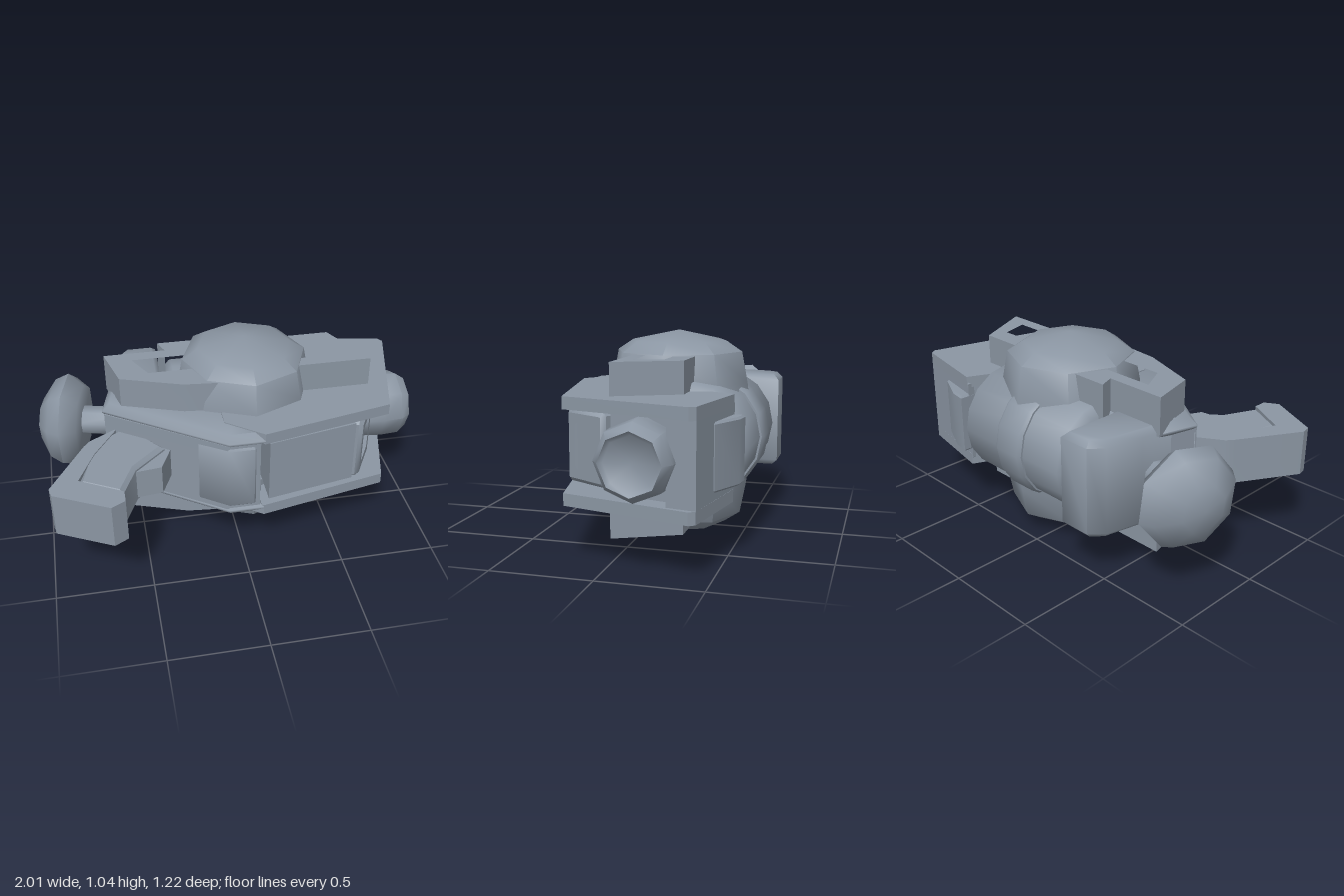
import * as THREE from 'three';
import { toCreasedNormals } from 'three/addons/utils/BufferGeometryUtils.js';

const MID = 0.52; // height of the horizontal mirror plane

export function createModel() {
  const group = new THREE.Group();
  const grey = new THREE.MeshStandardMaterial({ color: 0x8b96a3 });
  grey.name = 'blue grey';

  const add = (name, geo, crease = 0.7) => {
    const mesh = new THREE.Mesh(toCreasedNormals(geo, crease), grey);
    mesh.name = name;
    group.add(mesh);
    return mesh;
  };
  const toShape = (pts) => new THREE.Shape(pts.map(([x, z]) => new THREE.Vector2(x, -z)));

  // Vertical prism from a plan outline of [x, z] points
  const prism = (name, pts, y0, y1, { bevel = 0, hole = null, crease = 0.7 } = {}) => {
    const shape = toShape(pts);
    if (hole) shape.holes.push(toShape(hole));
    const geo = new THREE.ExtrudeGeometry(shape, {
      depth: y1 - y0 - 2 * bevel, bevelEnabled: bevel > 0,
      bevelThickness: bevel, bevelSize: bevel, bevelOffset: -bevel, bevelSegments: 1,
    });
    geo.rotateX(-Math.PI / 2).translate(0, y0 + bevel, 0);
    return add(name, geo, crease);
  };
  // The same prism above and below the mirror plane
  const pair = (name, pts, y0, y1, opts) => {
    prism('upper' + name, pts, y0, y1, opts);
    prism('lower' + name, pts, 2 * MID - y1, 2 * MID - y0, opts);
  };
  // Turned part: profile of [radius, distance] along a direction
  const turned = (name, profile, sides, pos, dir, crease = 0.9) => {
    const geo = new THREE.LatheGeometry(profile.map(([r, d]) => new THREE.Vector2(r, d)), sides);
    const mesh = add(name, geo, crease);
    mesh.position.set(...pos);
    mesh.quaternion.setFromUnitVectors(new THREE.Vector3(0, 1, 0), new THREE.Vector3(...dir).normalize());
    return mesh;
  };

  // Domes
  const dome = [[0.37, 0.15], [0.355, 0.26], [0.325, 0.415], [0.245, 0.468], [0, 0.52]];
  for (const s of [1, -1]) {
    turned(s > 0 ? 'upperDome' : 'lowerDome', dome, 8, [0.09, MID, -0.155], [0, s, 0]);
  }

  // Hull core, with the rounded cheek at the front
  prism('hullCore', [[-0.6, -0.25], [-0.66, -0.04], [-0.09, 0.35], [0.08, 0.35], [0.1, 0.1],
    [0.74, 0.0], [0.84, -0.4], [0.5, -0.5], [0.4, -0.3], [-0.3, -0.3]], 0.32, 0.72);
  prism('cheek', [[-0.66, -0.05], [-0.08, 0.36], [0.05, 0.36], [0.09, 0.31], [0.09, 0.1], [-0.5, -0.1]],
    0.32, 0.72, { bevel: 0.03, crease: 1 });

  // Deck plates
  pair('RightDeck', [[-0.08, 0.1], [-0.08, 0.22], [0.1, 0.36], [0.78, 0.22], [0.95, -0.41], [0.93, -0.44],
    [0.5, -0.52], [0.4, -0.3], [-0.08, -0.3]], 0.715, 0.775);
  pair('LeftDeck', [[-0.62, -0.25], [-0.67, -0.05], [-0.08, 0.36], [0.1, 0.36], [0.1, -0.2], [-0.3, -0.3]],
    0.69, 0.77, { bevel: 0.035, crease: 1 });

  // Raised wings beside the domes, with an open channel in each
  const wings = [
    ['RightWing', [[-0.63, -0.27], [-0.31, -0.27], [-0.34, -0.35], [-0.06, -0.35], [-0.06, 0.1], [-0.26, 0.08], [-0.57, -0.03]],
      [[-0.49, -0.2], [-0.12, -0.2], [-0.12, -0.06], [-0.42, -0.06]]],
    ['LeftWing', [[0.3, -0.3], [0.58, -0.3], [0.73, 0.01], [0.25, 0.01]],
      [[0.33, -0.2], [0.55, -0.2], [0.59, -0.06], [0.33, -0.06]]],
  ];
  for (const [name, outline, hole] of wings) {
    pair(name, outline, 0.73, 0.93, { hole });
    pair(name + 'Floor', hole, 0.74, 0.84);
  }

  // Side block with a framed opening on its slanted end
  prism('sideBlock', [[0.13, 0.34], [0.6, 0.25], [0.58, 0.22], [0.7, 0.0], [0.13, 0.03]], 0.35, 0.7);
  const rect = (w, h, c) => [[-w + c, -h], [w - c, -h], [w, -h + c], [w, h - c], [w - c, h], [-w + c, h], [-w, h - c], [-w, -h + c]];
  const frameShape = toShape(rect(0.13, 0.175, 0.015));
  frameShape.holes.push(toShape(rect(0.09, 0.13, 0.025)));
  const frame = add('blockFrame', new THREE.ExtrudeGeometry(frameShape, {
    depth: 0.05, bevelEnabled: true, bevelThickness: 0.02, bevelSize: 0.02, bevelOffset: -0.02, bevelSegments: 1,
  }));
  frame.position.set(0.635, MID + 0.005, 0.11);
  frame.rotation.y = 1.06;

  // Eight-sided nozzle on the left side
  turned('nozzle', [[0.17, -0.1], [0.185, 0.1], [0.18, 0.2], [0.145, 0.25], [0.125, 0.23], [0, 0.215]],
    8, [0.75, MID + 0.005, -0.165], [1, 0, 0]);

  // Left rear housing and its bump
  prism('leftRearHousing', [[0.49, -0.52], [0.93, -0.44], [0.9, -0.3], [0.5, -0.25]], 0.28, 0.765, { bevel: 0.03 });
  prism('rearBump', [[0.49, -0.57], [0.57, -0.56], [0.74, -0.48], [0.7, -0.4], [0.49, -0.4]], 0.36, 0.68, { bevel: 0.01 });

  // Rear drum with a raised band
  const drum = [[0, 0], [0.25, 0], [0.29, 0.04], [0.29, 0.74], [0.25, 0.78], [0, 0.78]];
  turned('rearDrum', drum, 16, [-0.31, MID, -0.3], [1, 0, 0]);
  turned('drumBand', [[0.27, 0], [0.3, 0], [0.312, 0.02], [0.312, 0.17], [0.3, 0.19], [0.27, 0.19]],
    16, [-0.02, MID, -0.3], [1, 0, 0]);

  // Right rear pod
  prism('rightRearPod', [[-0.33, -0.61], [-0.5, -0.61], [-0.56, -0.54], [-0.6, -0.35], [-0.63, -0.1], [-0.33, -0.1]],
    0.27, 0.775, { bevel: 0.03, crease: 1 });

  // Dish on a short stem
  turned('dish', [[0, 0], [0.2, 0], [0.26, 0.08], [0.225, 0.15], [0.115, 0.22], [0, 0.235]],
    8, [-0.765, MID + 0.005, -0.295], [-0.96, 0, -0.27], 1);
  turned('dishStem', [[0.08, 0], [0.08, 0.28]], 8, [-0.52, MID + 0.005, -0.235], [-0.96, 0, -0.27]);

  // Angled forward arm with a hooked outer shell
  prism('armBody', [[-0.74, 0.08], [-0.55, -0.05], [-0.38, 0.17], [-0.54, 0.32], [-0.62, 0.5], [-0.82, 0.39]],
    0.415, 0.635, { bevel: 0.02 });
  prism('armLug', [[-0.54, 0.32], [-0.41, 0.305], [-0.35, 0.17], [-0.45, 0.0], [-0.6, 0.1]], 0.445, 0.605);
  prism('armShell', [[-0.6, -0.02], [-0.75, 0.07], [-0.78, 0.11], [-0.96, 0.42], [-0.95, 0.47], [-0.68, 0.61],
    [-0.61, 0.57], [-0.61, 0.5], [-0.82, 0.38], [-0.73, 0.18]], 0.405, 0.64);

  return group;
}
